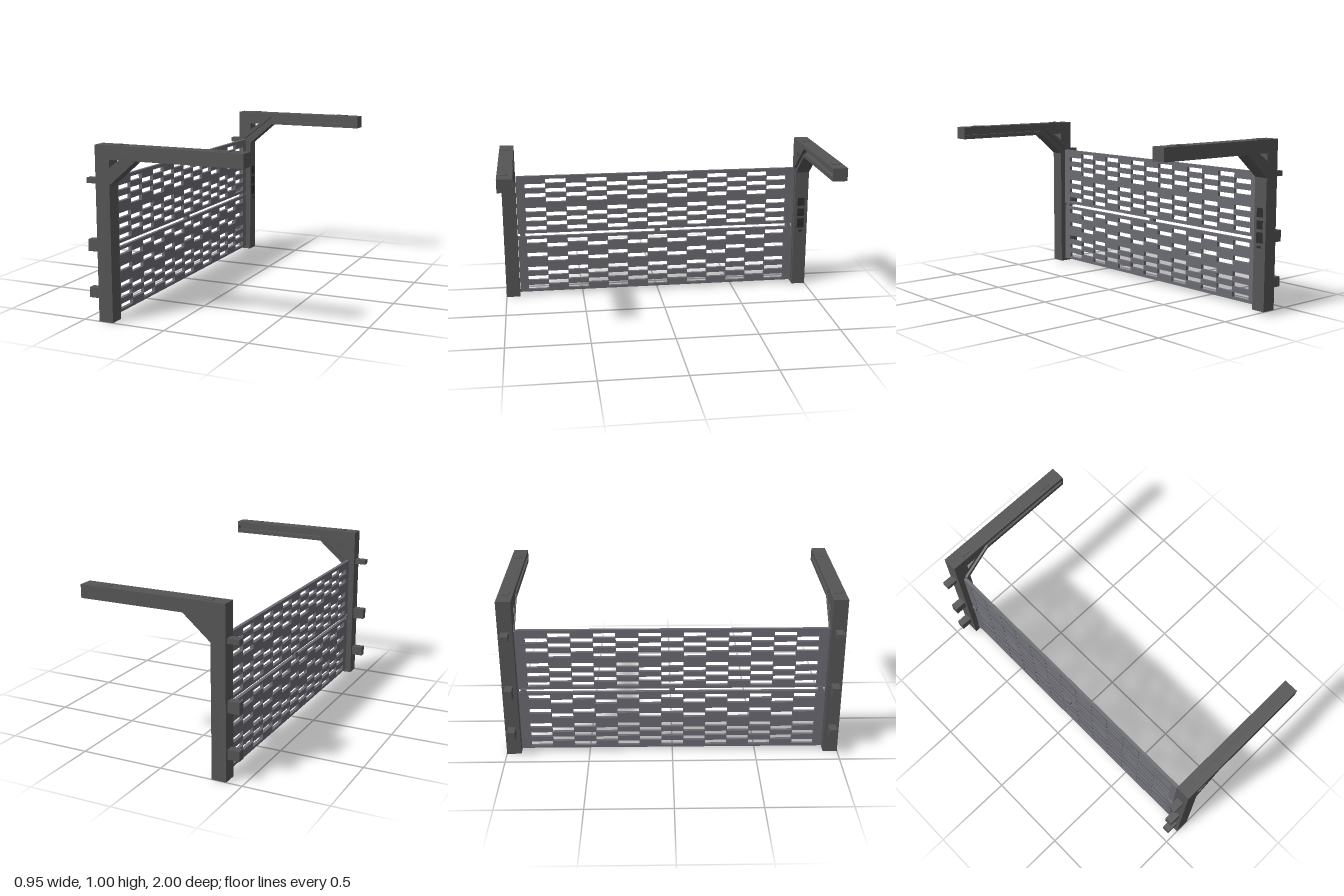
import * as THREE from 'three';

const frameMat = new THREE.MeshStandardMaterial({ color: 0x555555 });
const doorMat = new THREE.MeshStandardMaterial({ color: 0x6a6a72 });
const darkMat = new THREE.MeshStandardMaterial({ color: 0x2c2c2c });

const points = (list) => list.map(([x, y]) => new THREE.Vector2(x, y));

function box(name, mat, x0, x1, y0, y1, z0, z1) {
  const mesh = new THREE.Mesh(new THREE.BoxGeometry(x1 - x0, y1 - y0, z1 - z0), mat);
  mesh.position.set((x0 + x1) / 2, (y0 + y1) / 2, (z0 + z1) / 2);
  mesh.name = name;
  return mesh;
}

// Post, brace and overhead beam as one outline with a triangular opening
function frameLayer(name, z0, depth, grooved) {
  const shape = new THREE.Shape(points([
    [-0.405, 0], [-0.318, 0], [-0.318, 0.775], [-0.155, 0.915],
    [0.472, 0.915], [0.472, 0.992], [-0.405, 0.992],
  ]));
  shape.holes.push(new THREE.Path(points([[-0.318, 0.87], [-0.318, 0.915], [-0.255, 0.915]])));
  if (grooved) {
    // Door track running up the post, along the brace and out the beam
    shape.holes.push(new THREE.Path(points([
      [-0.375, 0.015], [-0.345, 0.015], [-0.345, 0.782], [-0.15, 0.94],
      [0.462, 0.94], [0.462, 0.968], [-0.158, 0.968], [-0.375, 0.795],
    ])));
  }
  const geo = new THREE.ExtrudeGeometry(shape, { depth, bevelEnabled: false });
  geo.translate(0, 0, z0);
  const mesh = new THREE.Mesh(geo, frameMat);
  mesh.name = name;
  return mesh;
}

function sideFrame(side) {
  const group = new THREE.Group();
  group.name = side > 0 ? 'frontFrame' : 'backFrame';
  const inner = 0.913, step = 0.94, outer = 1;
  group.add(
    frameLayer('frameOuter', side > 0 ? step : -outer, outer - step, false),
    frameLayer('frameTrack', side > 0 ? inner : -step, step - inner, true),
  );
  const z0 = side > 0 ? 0.935 : -0.98, z1 = z0 + 0.045;
  // Wall brackets behind the post
  for (const [y0, y1] of [[0.775, 0.805], [0.393, 0.46], [0.127, 0.185]])
    group.add(box('wallBracket', frameMat, -0.475, -0.4, y0, y1, z0, z1));
  // Pads on top of the beam
  for (const [x0, x1] of [[-0.316, -0.26], [0.304, 0.38]])
    group.add(box('topPad', frameMat, x0, x1, 0.985, 0.996, z0, z1));
  return group;
}

// Perforated door panel: each row of slots uses odd (1), even (0) or no (-1) columns
function doorPanel(name, y0, y1, bands) {
  const half = 0.91, cols = 13, w = 1.71 / cols, h = 0.0312, gap = 0.001;
  const rect = (Type, a, b, c, d) => new Type(points([[a, c], [b, c], [b, d], [a, d]]));
  const shape = rect(THREE.Shape, -half, half, y0, y1);
  for (const { top, rows } of bands) {
    rows.forEach((parity, r) => {
      for (let c = 0; c < cols; c++) {
        if (parity < 0 || (c + 1) % 2 !== parity) continue;
        const a = -0.855 + c * w, d = top - r * h;
        shape.holes.push(rect(THREE.Path, a + gap, a + w - gap, d - h + gap, d - gap));
      }
    });
  }
  const geo = new THREE.ExtrudeGeometry(shape, { depth: 0.02, bevelEnabled: false });
  geo.rotateY(Math.PI / 2).translate(-0.37, 0, 0);
  const mesh = new THREE.Mesh(geo, doorMat);
  mesh.name = name;
  return mesh;
}

export function createModel() {
  const model = new THREE.Group();
  model.name = 'sectionalDoor';
  model.add(sideFrame(1), sideFrame(-1));

  const door = new THREE.Group();
  door.name = 'door';
  const full = [1, 0, 1, 0, 1];
  door.add(
    doorPanel('upperPanel', 0.42, 0.8, [
      { top: 0.781, rows: [0, 1, 0, 1, 0] }, { top: 0.592, rows: full }]),
    doorPanel('lowerPanel', 0.02, 0.398, [
      { top: 0.381, rows: [1, 0, -1, 1, 0] }, { top: 0.191, rows: full }]),
  );
  // Hinges joining the panels
  for (const z of [-0.88, 0, 0.88])
    door.add(box('hinge', doorMat, -0.38, -0.355, 0.392, 0.425, z - 0.016, z + 0.016));
  model.add(door);

  // Control buttons on the back post
  const controls = new THREE.Group();
  controls.name = 'controls';
  for (const [y0, y1] of [[0.547, 0.6], [0.477, 0.527], [0.397, 0.46]])
    controls.add(box('button', darkMat, -0.325, -0.317, y0, y1, -0.978, -0.932));
  controls.add(box('keySwitch', darkMat, -0.325, -0.311, 0.369, 0.381, -0.967, -0.943));
  model.add(controls);
  return model;
}
